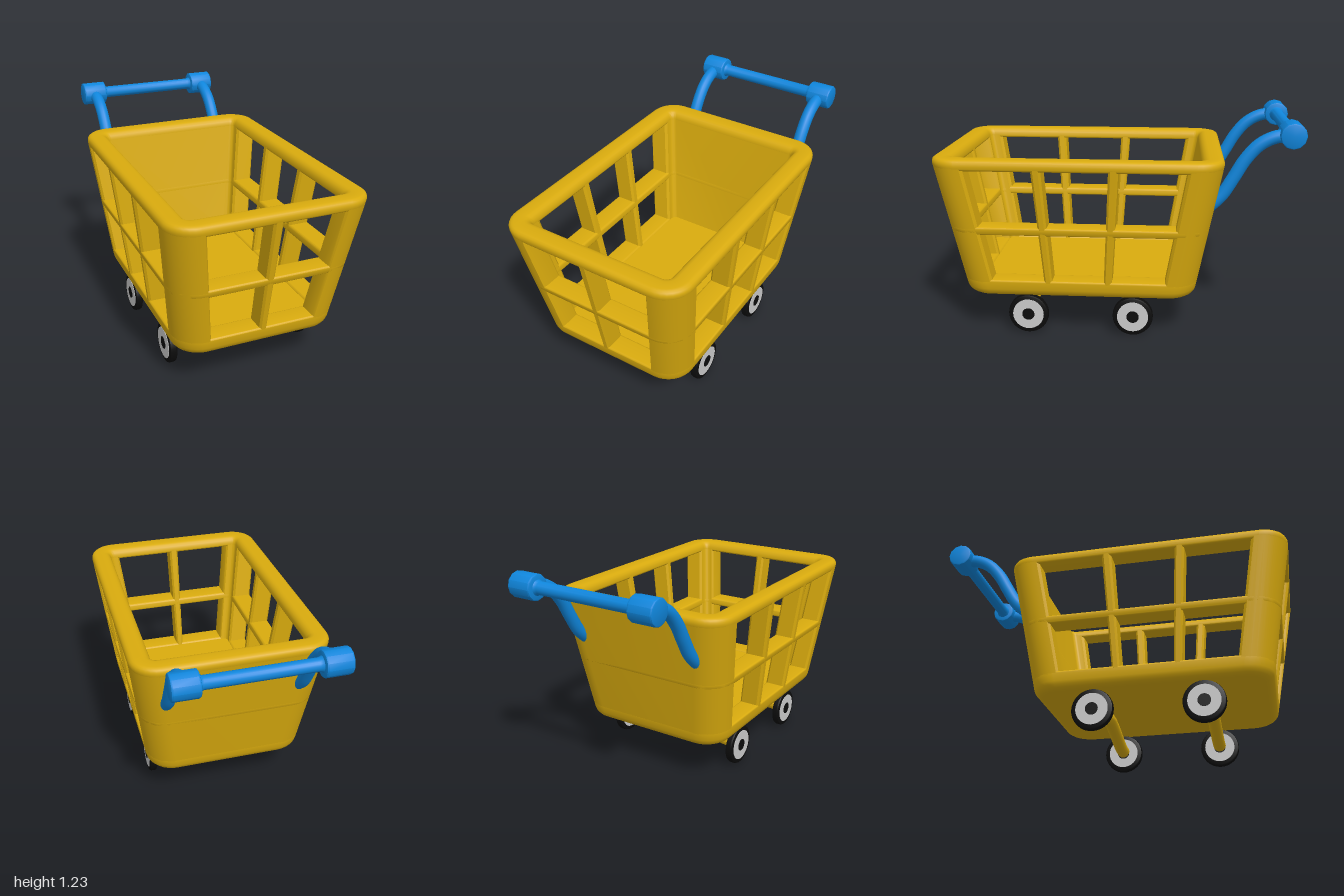
import * as THREE from 'three';
import { toCreasedNormals } from 'three/addons/utils/BufferGeometryUtils.js';

const yellow = new THREE.MeshStandardMaterial({ color: 0xd9ab0e });
yellow.name = 'basket yellow';
const blue = new THREE.MeshStandardMaterial({ color: 0x0f86dc });
blue.name = 'handle blue';
const black = new THREE.MeshStandardMaterial({ color: 0x0c0c0c });
black.name = 'tyre black';
const grey = new THREE.MeshStandardMaterial({ color: 0xcbcbcb });
grey.name = 'hub grey';

const Y0 = 0.23, Y1 = 1.03;          // basket bottom and top
const R_IN = 0.03, R_OUT = 0.15;     // wall faces, measured from the corner axes
const EDGE = 0.935;                  // where windows stop along a wall
const Q = Math.PI / 2;

function add(group, name, geometry, material, crease = 0.6) {
  const mesh = new THREE.Mesh(toCreasedNormals(geometry, crease), material);
  mesh.name = name;
  group.add(mesh);
  return mesh;
}

// Wall section from height a to b; radii round bottom-inner, bottom-outer, top-outer, top-inner
function band(a, b, radii) {
  const corners = [[R_IN, a, 1, 1], [R_OUT, a, -1, 1], [R_OUT, b, -1, -1], [R_IN, b, 1, -1]];
  const points = [];
  corners.forEach(([r, y, sr, sy], i) => {
    const rad = radii[i];
    if (!rad) return points.push([r, y]);
    for (let s = 0; s <= 4; s++) {
      const ang = Math.PI + i * Q + (s / 4) * Q;
      points.push([r + sr * rad + rad * Math.cos(ang), y + sy * rad + rad * Math.sin(ang)]);
    }
  });
  return points;
}

// A place on wall q (0 left, 1 front, 2 right, 3 back), t from -1 to 1 along it
function station(q, t, inset = 0) {
  const c = Math.round(Math.cos(q * Q)), s = Math.round(Math.sin(q * Q));
  return { fx: c - t * s, fz: s + t * c, angle: q * Q, inset };
}

// Rounded corner between wall q and the next wall
function corner(q) {
  const list = [];
  for (let i = 0; i <= 8; i++) list.push({ ...station(q, 1), angle: (q + i / 8) * Q });
  return list;
}

// Sweeps a section along stations; the basket flares outward with height
function sweep(profile, stations, closed = false) {
  const pos = [], index = [], n = profile.length;
  for (const { fx, fz, angle, inset } of stations) {
    for (const [r0, y] of profile) {
      const k = (y - Y0) / (Y1 - Y0);
      const r = Math.min(Math.max(r0, R_IN + inset), R_OUT - inset);
      pos.push(fx * (0.30 + 0.10 * k) + r * Math.cos(angle), y,
        0.206 + fz * (0.4975 + 0.1475 * k) + r * Math.sin(angle));
    }
  }
  const m = stations.length;
  for (let i = 0; i < (closed ? m : m - 1); i++) {
    for (let j = 0; j < n; j++) {
      const i2 = ((i + 1) % m) * n, j2 = (j + 1) % n;
      const a = i * n + j, b = i * n + j2, c = i2 + j2, d = i2 + j;
      index.push(a, b, c, a, c, d);
    }
  }
  if (!closed) {
    const e = (m - 1) * n;
    for (let j = 1; j < n - 1; j++) index.push(0, j + 1, j, e, e + j, e + j + 1);
  }
  const g = new THREE.BufferGeometry();
  g.setAttribute('position', new THREE.Float32BufferAttribute(pos, 3));
  g.setIndex(index);
  return g;
}

function createBasket() {
  const basket = new THREE.Group();
  basket.name = 'basket';
  const ring = [0, 1, 2, 3].flatMap(corner);
  const b = 0.012;
  add(basket, 'rim', sweep(band(0.97, Y1, [b, b, 0.035, 0.035]), ring, true), yellow);
  add(basket, 'middleRail', sweep(band(0.605, 0.65, [b, b, b, b]), ring, true), yellow);
  add(basket, 'base', sweep(band(Y0, 0.33, [0, 0.045, b, b]), ring, true), yellow);
  const floor = add(basket, 'floor', new THREE.BoxGeometry(0.72, 0.09, 1.11), yellow);
  floor.position.set(0, Y0 + 0.045, 0.206);

  // Solid walls and posts run between base and rim, with softened window edges
  const wall = band(0.315, 0.985, [0, 0, 0, 0]);
  const from = (q, t, d) => [station(q, t, b), station(q, t + d)];
  const to = (q, t, d) => [station(q, t - d), station(q, t, b)];
  for (const q of [0, 1]) {
    add(basket, 'cornerPost', sweep(wall,
      [...from(q, EDGE, 0.025), ...corner(q), ...to(q + 1, -EDGE, 0.025)]), yellow);
  }
  add(basket, 'backWall', sweep(wall,
    [...from(2, EDGE, 0.025), ...corner(2), ...corner(3), ...to(0, -EDGE, 0.025)]), yellow);

  // Upright bars: one in front, two on each side
  const bars = [[1, -0.068, 0.068, 0.03]];
  for (const q of [0, 2]) bars.push([q, 0.28, 0.365, 0.02], [q, -0.365, -0.28, 0.02]);
  for (const [q, t0, t1, d] of bars) {
    add(basket, 'uprightBar', sweep(wall, [...from(q, t0, d), ...to(q, t1, d)]), yellow);
  }
  return basket;
}

// Solid of revolution about the x axis
function latheX(points, segments) {
  const g = new THREE.LatheGeometry(points.map(([r, h]) => new THREE.Vector2(r, h)), segments);
  return g.rotateZ(-Q);
}

function tube(points, radius) {
  const curve = new THREE.CatmullRomCurve3(points.map((p) => new THREE.Vector3(...p)));
  return new THREE.TubeGeometry(curve, 32, radius, 16);
}

function createHandle() {
  const handle = new THREE.Group();
  handle.name = 'handle';
  const y = 1.16, z = -0.93;
  for (const s of [-1, 1]) {
    add(handle, 'handleArm', tube([
      [s * 0.37, 0.74, -0.485], [s * 0.37, 0.82, -0.57], [s * 0.37, 0.92, -0.632],
      [s * 0.37, 1.02, -0.69], [s * 0.37, 1.1, -0.76], [s * 0.37, 1.143, -0.84],
      [s * 0.37, 1.155, z]], 0.036), blue, 0.9);
    const grip = add(handle, 'handleGrip', latheX([[0, -0.072], [0.06, -0.072], [0.067, -0.069],
      [0.07, -0.062], [0.07, 0.062], [0.067, 0.069], [0.06, 0.072], [0, 0.072]], 12), blue);
    grip.position.set(s * 0.37, y, z);
  }
  const bar = add(handle, 'handleBar', latheX([[0.048, -0.305], [0.039, -0.295], [0.035, -0.28],
    [0.035, 0.28], [0.039, 0.295], [0.048, 0.305]], 20), blue);
  bar.position.set(0, y, z);
  return handle;
}

function createWheel() {
  const wheel = new THREE.Group();
  wheel.name = 'wheel';
  add(wheel, 'tyre', latheX([[0, -0.021], [0.104, -0.021], [0.111, -0.018], [0.114, -0.01],
    [0.114, 0.01], [0.111, 0.018], [0.104, 0.021], [0, 0.021]], 32), black);
  for (const s of [-1, 1]) {
    const disc = add(wheel, 'hubDisc', new THREE.CylinderGeometry(0.088, 0.088, 0.004, 32).rotateZ(Q), grey);
    disc.position.x = s * 0.0215;
    const cap = add(wheel, 'hubCap', new THREE.CylinderGeometry(0.035, 0.035, 0.004, 20).rotateZ(Q), black);
    cap.position.x = s * 0.0235;
  }
  return wheel;
}

export function createModel() {
  const cart = new THREE.Group();
  cart.name = 'shoppingCart';
  cart.add(createBasket(), createHandle());
  // Two arched axles with a wheel at each end
  for (const z of [0.497, -0.097]) {
    add(cart, 'axle', tube([[-0.39, 0.122, z], [-0.3, 0.127, z], [-0.13, 0.174, z], [0, 0.197, z],
      [0.13, 0.174, z], [0.3, 0.127, z], [0.39, 0.122, z]], 0.037), yellow, 0.9);
    for (const s of [-1, 1]) {
      const wheel = createWheel();
      wheel.position.set(s * 0.398, 0.114, z);
      cart.add(wheel);
    }
  }
  return cart;
}
